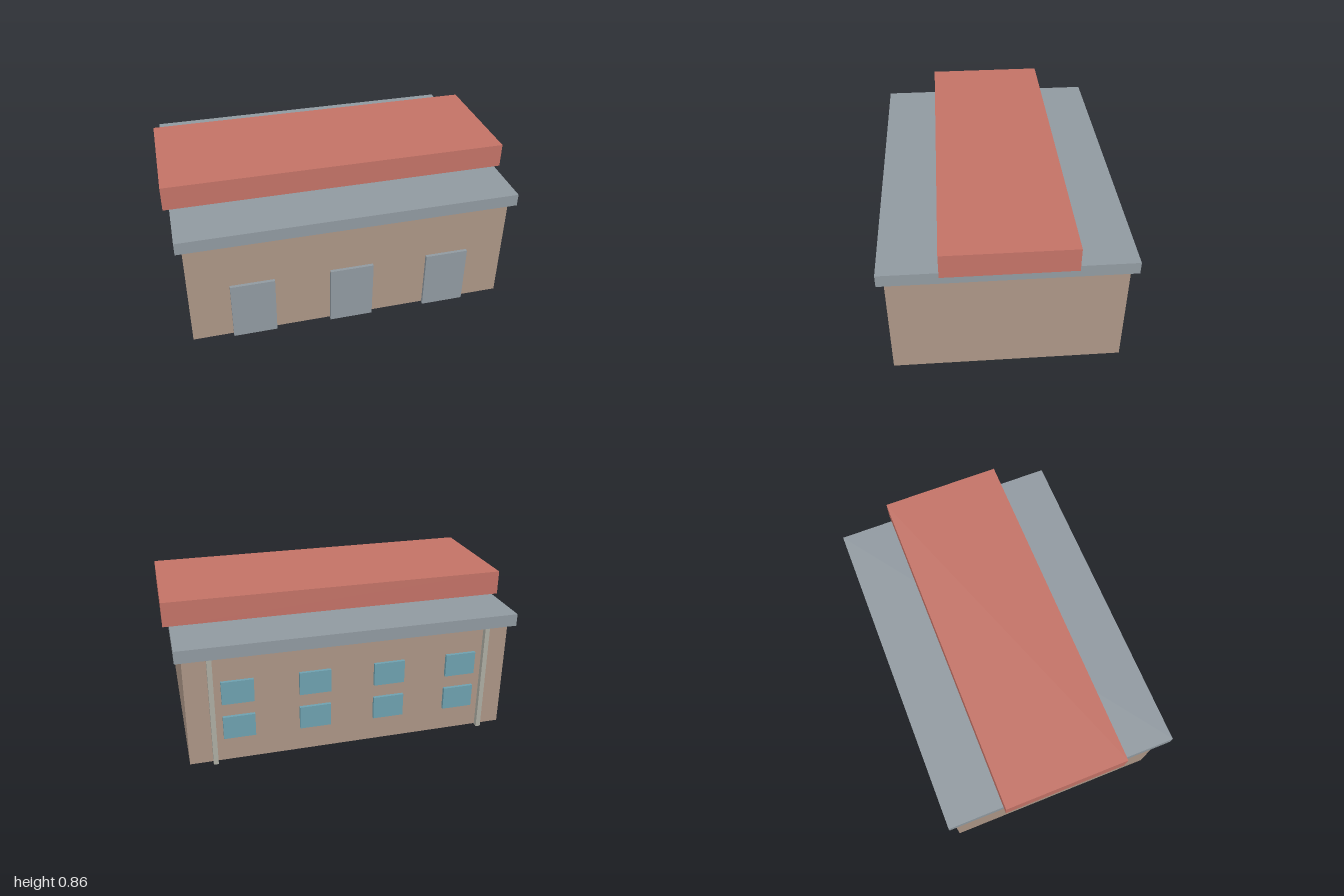
import * as THREE from 'three';

const mat = (name, color) => {
  const m = new THREE.MeshStandardMaterial({ color });
  m.name = name;
  return m;
};

export function createModel() {
  const group = new THREE.Group();
  group.name = 'building';

  const wallTan = mat('wallTan', 0xae9888);
  const slateGrey = mat('slateGrey', 0x939ca3);
  const roofRed = mat('roofRed', 0xc67468);
  const glassBlue = mat('glassBlue', 0x70a3b2);
  const pipeGrey = mat('pipeGrey', 0xb0afa5);

  // Box given by its size and the centre of its base
  const box = (name, material, w, h, d, x, y, z) => {
    const mesh = new THREE.Mesh(new THREE.BoxGeometry(w, h, d), material);
    mesh.name = name;
    mesh.position.set(x, y + h / 2, z);
    group.add(mesh);
  };

  // Main body, overhanging roof slab and raised roof block
  box('walls', wallTan, 1.858, 0.645, 1.286, 0, 0, 0);
  box('roofSlab', slateGrey, 1.93, 0.072, 1.36, 0, 0.645, 0);
  box('upperRoof', roofRed, 2, 0.142, 0.716, 0, 0.717, 0);

  // Three doors standing just off the front wall
  for (const x of [-0.572, 0, 0.572]) box('door', slateGrey, 0.252, 0.36, 0.018, x, 0, 0.661);

  // Two rows of four windows on the back wall
  for (const y of [0.145, 0.36]) {
    for (const x of [-0.645, -0.215, 0.215, 0.645]) {
      box('window', glassBlue, 0.178, 0.135, 0.018, x, y, -0.652);
    }
  }

  // Square drainpipes at both ends of the back wall
  for (const x of [-0.788, 0.788]) box('drainpipe', pipeGrey, 0.027, 0.645, 0.027, x, 0, -0.6655);

  return group;
}
